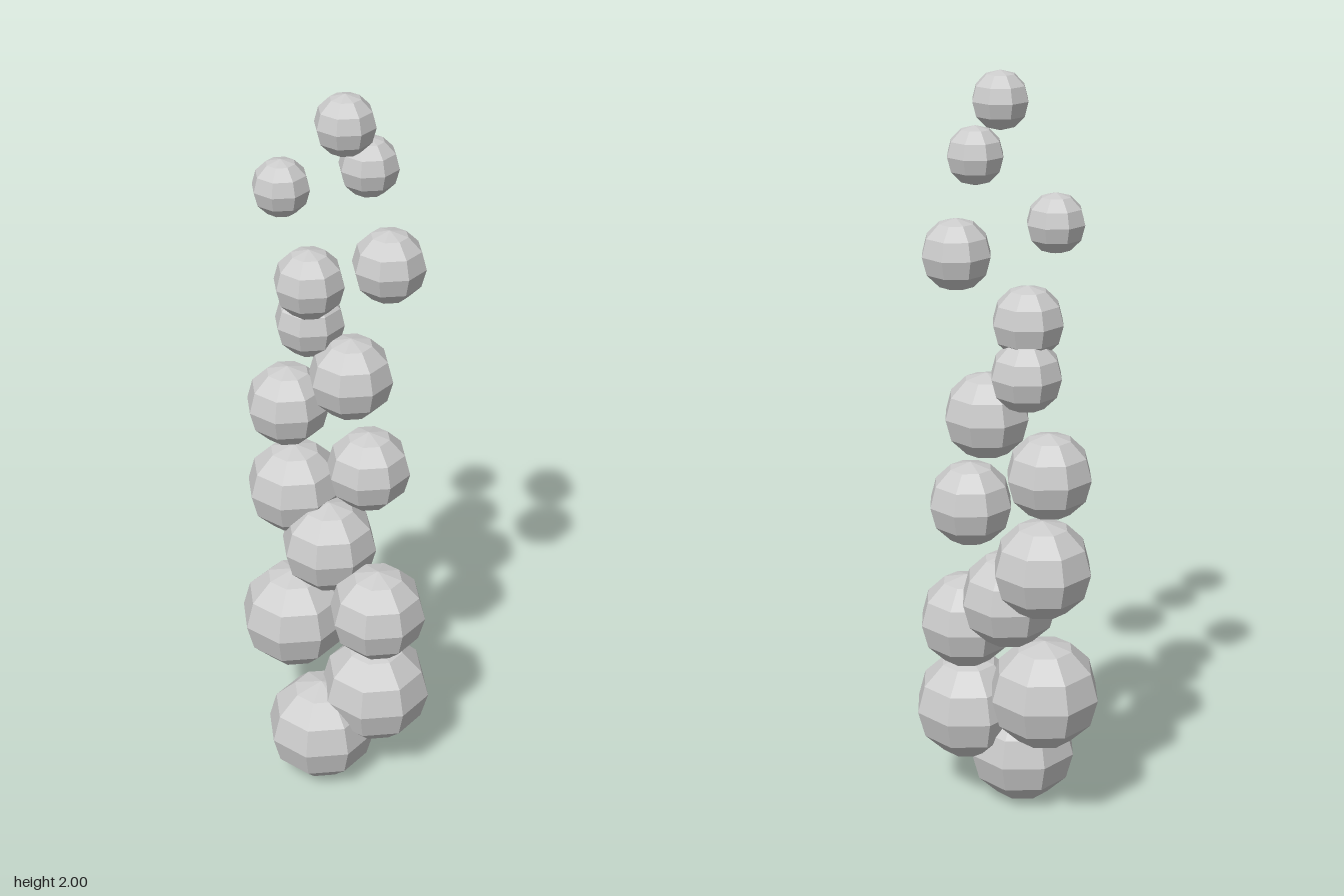
import * as THREE from 'three';

export function createModel() {
  const group = new THREE.Group();
  group.name = 'bubbleColumn';
  const grey = new THREE.MeshStandardMaterial({ color: 0xcccccc });
  grey.name = 'bubble grey';

  // Bubbles shrink in five steps of three as they rise
  const radii = [0.149, 0.1305, 0.112, 0.093, 0.0745];

  // Sideways drift (x, z) of each bubble, from bottom to top
  const drift = [
    [-0.012, 0.092], [0.127, 0.044], [-0.13, -0.054],
    [0.131, 0.045], [-0.03, -0.051], [-0.145, -0.115],
    [0.076, -0.055], [-0.161, -0.114], [0.02, -0.08],
    [-0.099, -0.114], [-0.09, -0.08], [0.14, 0.015],
    [-0.16, -0.079], [0.088, 0.017], [0.049, 0.086],
  ];

  // Faceted spheres: flat normals come from unshared vertices
  const shapes = radii.map((r) => {
    const geometry = new THREE.SphereGeometry(r, 8, 6).toNonIndexed();
    geometry.computeVertexNormals();
    return geometry;
  });

  // Even spacing in height, resting on the ground and ending at 2
  const bottom = radii[0];
  const top = 2 - radii[4];
  drift.forEach(([x, z], i) => {
    const bubble = new THREE.Mesh(shapes[Math.floor(i / 3)], grey);
    bubble.name = `bubble${i + 1}`;
    bubble.position.set(x, bottom + ((top - bottom) * i) / (drift.length - 1), z);
    group.add(bubble);
  });
  return group;
}
